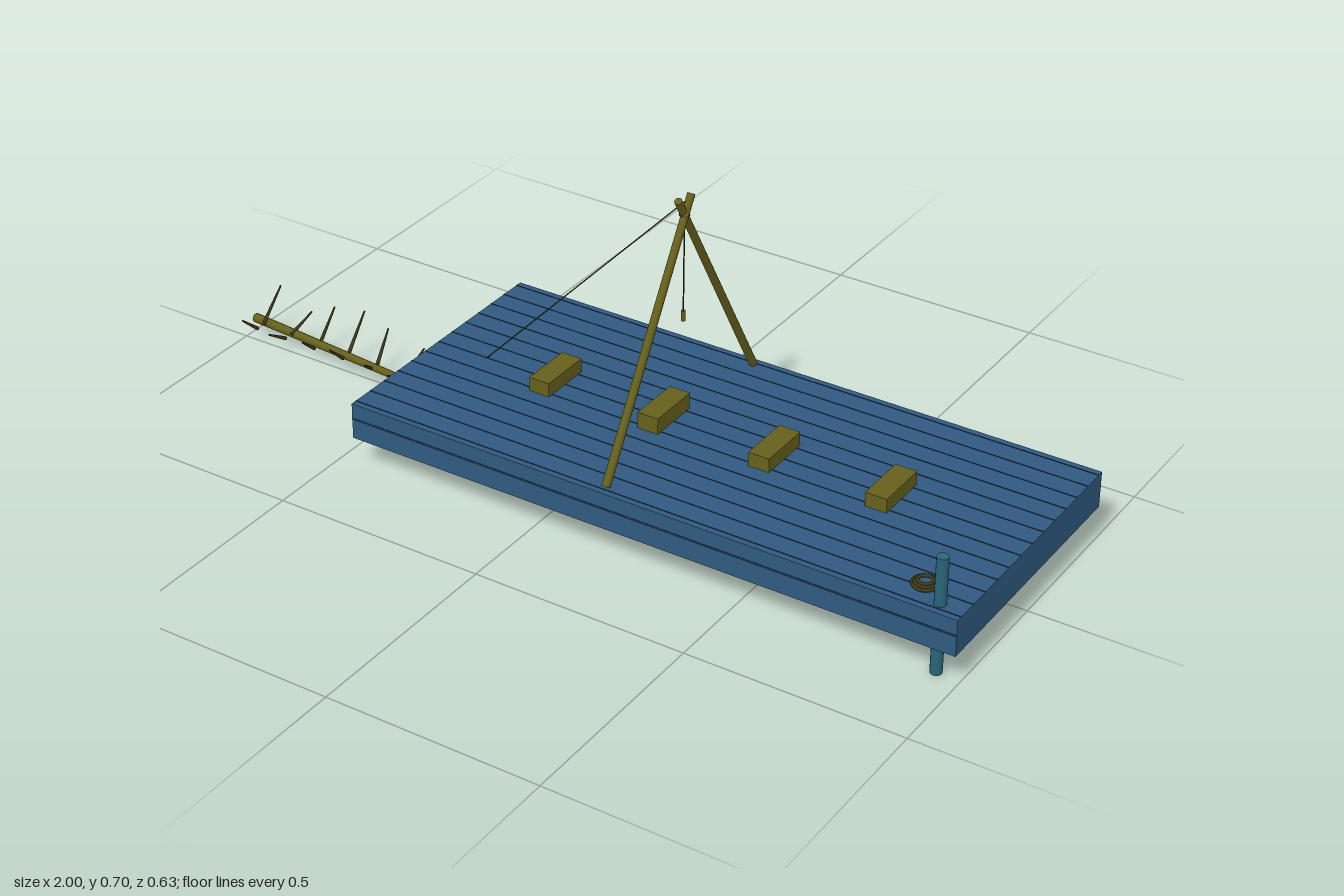
import * as THREE from 'three';

const blue = new THREE.MeshStandardMaterial({ color: 0x305a80 });
const darkBlue = new THREE.MeshStandardMaterial({ color: 0x18304a });
const teal = new THREE.MeshStandardMaterial({ color: 0x2a6478 });
const wood = new THREE.MeshStandardMaterial({ color: 0x66601c });
const darkWood = new THREE.MeshStandardMaterial({ color: 0x3c3a16 });

const V = (x, y, z) => new THREE.Vector3(x, y, z);

export function createModel() {
  const model = new THREE.Group();

  const add = (name, geometry, material, x = 0, y = 0, z = 0) => {
    const mesh = new THREE.Mesh(geometry, material);
    mesh.name = name;
    mesh.position.set(x, y, z);
    model.add(mesh);
    return mesh;
  };

  const box = (name, w, h, d, material, x, y, z) =>
    add(name, new THREE.BoxGeometry(w, h, d), material, x, y, z);

  // Round bar running from a to b, optionally tapered
  const bar = (name, a, b, r0, r1, material, sides = 10) => {
    const dir = b.clone().sub(a);
    const mesh = add(name, new THREE.CylinderGeometry(r1, r0, dir.length(), sides), material);
    mesh.position.copy(a).add(b).multiplyScalar(0.5);
    mesh.quaternion.setFromUnitVectors(V(0, 1, 0), dir.normalize());
    return mesh;
  };

  // Flat hull with a narrow side seam and a planked deck
  const deckY = 0.162;
  box('hull', 1.45, 0.085, 0.63, blue, 0.275, 0.1195, 0);
  for (const s of [-1, 1]) box('sideSeam', 1.45, 0.005, 0.002, darkBlue, 0.275, 0.125, s * 0.3145);
  for (let i = -6; i <= 6; i++) {
    box('plankSeam', 1.45, 0.001, 0.003, darkBlue, 0.275, deckY + 0.0003, i * 0.05);
  }

  // Crossed poles of the lifting frame
  for (const s of [-1, 1]) {
    bar('framePole', V(0.18 + s * 0.002, 0.165, s * 0.293), V(0.18 + s * 0.002, 0.7, -s * 0.022),
      0.0095, 0.0085, wood, 12);
  }
  add('lashing', new THREE.TorusGeometry(0.009, 0.003, 6, 12), darkWood, 0.18, 0.66, 0).rotation.x = Math.PI / 2;

  // Stay rope down to the deck, hanging line and weight
  bar('stayRope', V(0.18, 0.69, 0), V(-0.32, deckY, 0), 0.0015, 0.0015, darkWood, 6);
  bar('hangingLine', V(0.18, 0.66, 0), V(0.18, 0.43, 0), 0.0015, 0.0015, darkWood, 6);
  add('weight', new THREE.CylinderGeometry(0.0045, 0.0045, 0.024, 10), wood, 0.18, 0.425, 0);

  // Row of seat blocks
  [-0.14, 0.135, 0.405, 0.68].forEach((x, i) => {
    const top = i === 1 ? 0.2 : 0.195;
    box('seatBlock', 0.05, top - deckY, 0.126, wood, x, (top + deckY) / 2, 0);
  });

  // Mooring post through the corner and a coil of rope beside it
  add('mooringPost', new THREE.CylinderGeometry(0.013, 0.013, 0.272, 16), teal, 0.945, 0.136, 0.283);
  [[0.026, 0.166], [0.021, 0.1695], [0.0155, 0.173]].forEach(([r, y]) => {
    add('ropeCoil', new THREE.TorusGeometry(r, 0.004, 6, 20), darkWood, 0.89, y, 0.242).rotation.x = Math.PI / 2;
  });

  // Drifting trunk with a row of twigs on each side
  bar('driftTrunk', V(-1, 0.031, -0.037), V(-0.5, 0.045, 0.023), 0.011, 0.008, wood);
  const tips = [0.112, 0.07, 0.104, 0.12, 0.095, 0.075];
  const lean = [0.004, 0.01, -0.004, 0, -0.016, 0.002];
  tips.forEach((tip, i) => {
    const x = -0.957 + i * 0.0815;
    for (const s of [-1, 1]) {
      const h = s < 0 ? tip : 0.065 + 0.3 * (tip - 0.065);
      bar('twig', V(x, 0.038, s * 0.01), V(x + s * -lean[i], h, s * (s < 0 ? 0.076 : 0.056)),
        0.0045, 0.002, darkWood, 6);
    }
  });

  return model;
}
